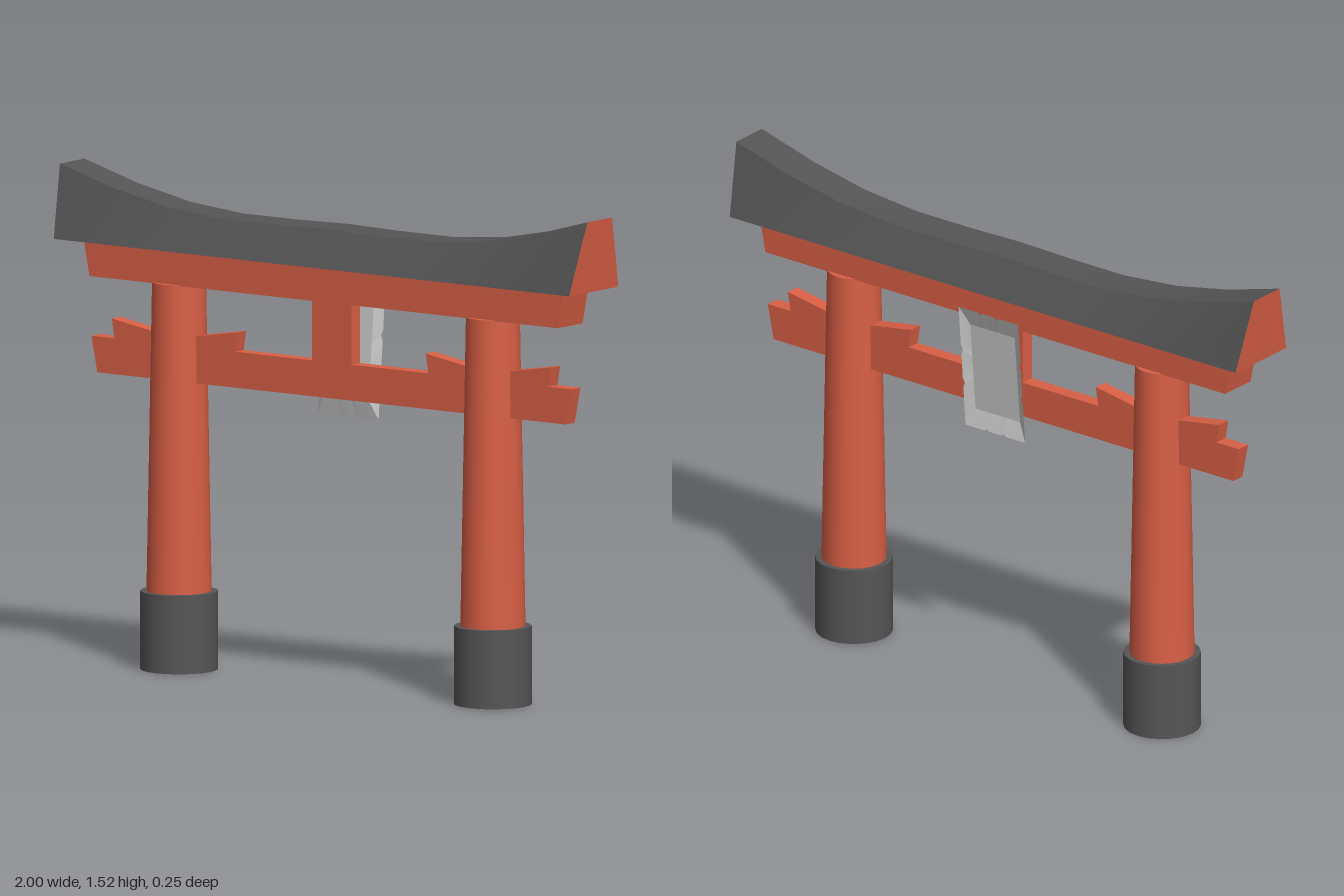
import * as THREE from 'three';

const mat = (name, color, side = THREE.FrontSide) => {
  const m = new THREE.MeshStandardMaterial({ color, side });
  m.name = name;
  return m;
};

// Quad strip between two rows of points; smooth along its length
function strip(a, b) {
  const pos = [], idx = [], n = a.length;
  for (const p of [...a, ...b]) pos.push(...p);
  for (let i = 0; i < n - 1; i++) idx.push(i, i + 1, n + i + 1, i, n + i + 1, n + i);
  const g = new THREE.BufferGeometry();
  g.setAttribute('position', new THREE.Float32BufferAttribute(pos, 3));
  g.setIndex(idx);
  g.computeVertexNormals();
  return g;
}

// Front outline extruded evenly about z = 0
function slab(points, depth) {
  const shape = new THREE.Shape(points.map(([x, y]) => new THREE.Vector2(x, y)));
  return new THREE.ExtrudeGeometry(shape, { depth, bevelEnabled: false }).translate(0, 0, -depth / 2);
}

export function createModel() {
  const group = new THREE.Group();
  const red = mat('vermilion paint', 0xd95f45);
  const dark = mat('dark grey', 0x555555);
  const light = mat('pale grey', 0xcccccc, THREE.DoubleSide);
  const add = (name, geometry, material) => {
    const mesh = new THREE.Mesh(geometry, material);
    mesh.name = name;
    group.add(mesh);
    return mesh;
  };

  // Curved roof beam: tapered section, sweeping up to the ends
  const half = [[0, 1.41], [0.2, 1.406], [0.4, 1.406], [0.6, 1.424], [0.8, 1.464], [1, 1.52]];
  const ridge = [...half.slice(1).reverse().map(([x, y]) => [-x, y]), ...half];
  const topRow = z => ridge.map(([x, y]) => [x, y, z]);
  const lowRow = z => ridge.map(([x]) => [x * 0.977, 1.298, z]);
  const topF = topRow(0.0625), topB = topRow(-0.0625);
  const lowF = lowRow(0.124), lowB = lowRow(-0.124);
  add('roofTop', strip(topF, topB), dark);
  add('roofFront', strip(lowF, topF), dark);
  add('roofBack', strip(topB, lowB), dark);
  add('roofUnderside', strip(lowB, lowF), red);
  const last = ridge.length - 1;
  add('roofEndLeft', strip([lowB[last], topB[last]], [lowF[last], topF[last]]), red);
  add('roofEndRight', strip([lowF[0], topF[0]], [lowB[0], topB[0]]), red);

  // Straight beams with slanted ends
  const beam = (y0, y1) => [[-0.888, y0], [0.888, y0], [0.91, y1], [-0.91, y1]];
  add('upperBeam', slab(beam(1.185, 1.298), 0.125), red);
  add('tieBeam', slab(beam(0.885, 0.995), 0.045), red);
  add('centreStrut', slab([[-0.075, 0.99], [0.075, 0.99], [0.075, 1.187], [-0.075, 1.187]], 0.045), red);

  // Pillars, footings and the wedges driven through them
  for (const side of [-1, 1]) {
    const name = side > 0 ? 'Left' : 'Right';
    const x = side * 0.595;
    add('pillar' + name, new THREE.CylinderGeometry(0.082, 0.099, 0.95, 20).translate(x, 0.712, 0), red);
    add('footing' + name, new THREE.CylinderGeometry(0.118, 0.118, 0.24, 20).translate(x, 0.12, 0), dark);
    const wedge = [[-0.228, 0.994], [0.228, 0.994], [0.238, 1.055], [0.085, 1.03],
      [0, 1.015], [-0.085, 1.03], [-0.238, 1.055]];
    add('wedges' + name, slab(wedge, 0.045).translate(x, 0, 0), red);
  }

  // Blank tilted plaque on the back: recessed panel inside a notched, flared rim
  const plaque = new THREE.Group();
  plaque.name = 'plaque';
  const loop = (w, y0, y1, z0, z1, notch) => {
    const corners = [[-w, y0], [w, y0], [w, y1], [-w, y1]], sides = [];
    corners.forEach(([x, y], i) => {
      const [nx, ny] = corners[(i + 1) % 4];
      const len = Math.hypot(nx - x, ny - y);
      const row = [0, 0.32, 0.36, 0.4, 0.6, 0.64, 0.68, 1].map(t => {
        const inset = t === 0.36 || t === 0.64 ? notch : 0;
        const px = x + (nx - x) * t - (ny - y) / len * inset;
        const py = y + (ny - y) * t + (nx - x) / len * inset;
        return [px, py, z0 + (z1 - z0) * (py - y0) / (y1 - y0)];
      });
      sides.push(row);
    });
    return sides;
  };
  const outer = loop(0.115, 0.82, 1.22, -0.062, -0.096, 0.007);
  const inner = loop(0.086, 0.877, 1.163, -0.05, -0.076, 0);
  outer.forEach((row, i) => {
    const rim = new THREE.Mesh(strip(inner[i], row), light);
    rim.name = 'plaqueRim' + (i + 1);
    plaque.add(rim);
  });
  const panel = new THREE.Mesh(strip([...inner[2]].reverse(), inner[0]), light);
  panel.name = 'plaquePanel';
  plaque.add(panel);
  group.add(plaque);

  return group;
}
